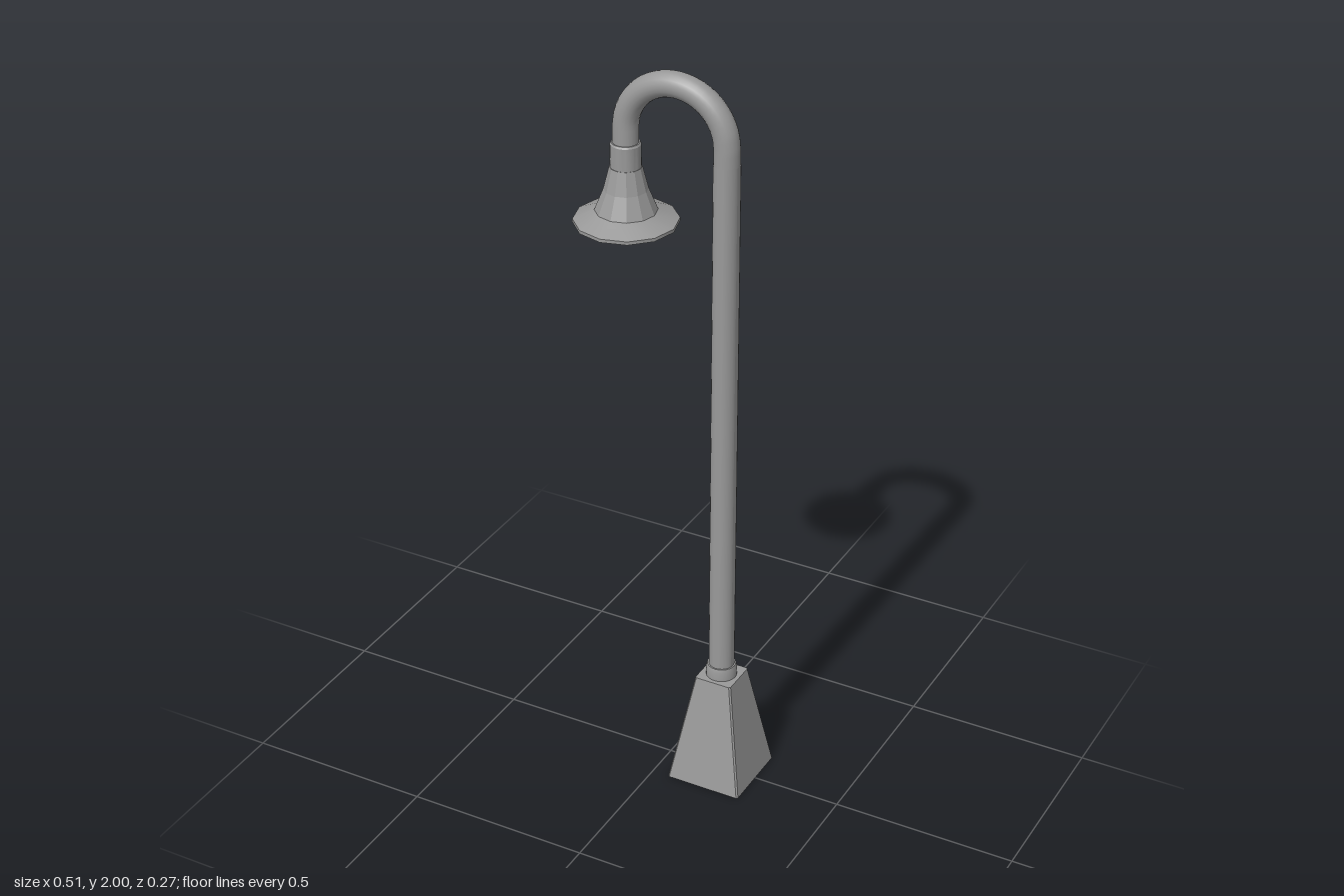
import * as THREE from 'three';
import { toCreasedNormals } from 'three/addons/utils/BufferGeometryUtils.js';

const POST_X = 0.152, LAMP_X = -0.125, TUBE_R = 0.034;

export function createModel() {
  const model = new THREE.Group();
  model.name = 'streetLamp';
  const metal = new THREE.MeshStandardMaterial({ color: 0x999999, side: THREE.DoubleSide });
  metal.name = 'greyMetal';

  const add = (name, geometry, x = 0) => {
    const mesh = new THREE.Mesh(geometry, metal);
    mesh.name = name;
    mesh.position.x = x;
    model.add(mesh);
  };
  // Turned part from [radius, height] pairs listed bottom to top
  const turned = (profile, sides, crease) => toCreasedNormals(
    new THREE.LatheGeometry(profile.map(([r, y]) => new THREE.Vector2(r, y)), sides), crease);

  // Tapered square foot, open below, with slim chamfers on its corners
  const foot = new THREE.LatheGeometry(
    [[0.105, 0], [0.052, 0.31], [0, 0.31]].map(([r, y]) => new THREE.Vector2(r, y)), 8, Math.PI / 8);
  const pos = foot.attributes.position;
  for (let i = 0; i < pos.count; i++) {
    const x = pos.getX(i), z = pos.getZ(i), h = Math.hypot(x, z);
    if (h < 0.001) continue;
    const inner = h - 0.004;
    pos.setX(i, Math.sign(x) * (Math.abs(x) > Math.abs(z) ? h : inner));
    pos.setZ(i, Math.sign(z) * (Math.abs(z) > Math.abs(x) ? h : inner));
  }
  add('foot', toCreasedNormals(foot, 0.3), POST_X);

  // Collar and post
  add('postCollar', turned([[0.041, 0.31], [0.041, 0.335], [0.038, 0.345], [TUBE_R, 0.345]], 24, 0.5), POST_X);
  add('post', turned([[TUBE_R, 0.31], [TUBE_R, 1.79]], 24, 0.5), POST_X);

  // Curved neck: short straight ends joined by a half circle
  const bend = (POST_X - LAMP_X) / 2, midX = (POST_X + LAMP_X) / 2, bendY = 2 - 0.033 - bend;
  const path = new THREE.CurvePath();
  const arc = [];
  for (let i = 0; i <= 12; i++) {
    const a = Math.PI * i / 12;
    arc.push(new THREE.Vector3(midX + bend * Math.cos(a), bendY + bend * Math.sin(a), 0));
  }
  path.add(new THREE.LineCurve3(new THREE.Vector3(POST_X, 1.785, 0), arc[0]));
  path.add(new THREE.CatmullRomCurve3(arc));
  path.add(new THREE.LineCurve3(arc[12], new THREE.Vector3(LAMP_X, 1.76, 0)));
  add('neck', new THREE.TubeGeometry(path, 32, 0.033, 20, false));

  // Lamp head
  add('lampCollar', turned([[0.039, 1.72], [0.039, 1.785], [0.036, 1.79], [0.033, 1.79]], 24, 0.5), LAMP_X);
  add('bell', turned([[0.079, 1.608], [0.056, 1.665], [0.041, 1.725], [0.033, 1.725]], 12, 0.1), LAMP_X);
  add('brim', turned([[0.133, 1.575], [0.133, 1.584], [0.079, 1.608]], 12, 0.6), LAMP_X);

  // Bulb
  const bulb = new THREE.SphereGeometry(0.048, 20, 14);
  bulb.translate(0, 1.598, 0);
  add('bulb', bulb, LAMP_X);

  return model;
}
